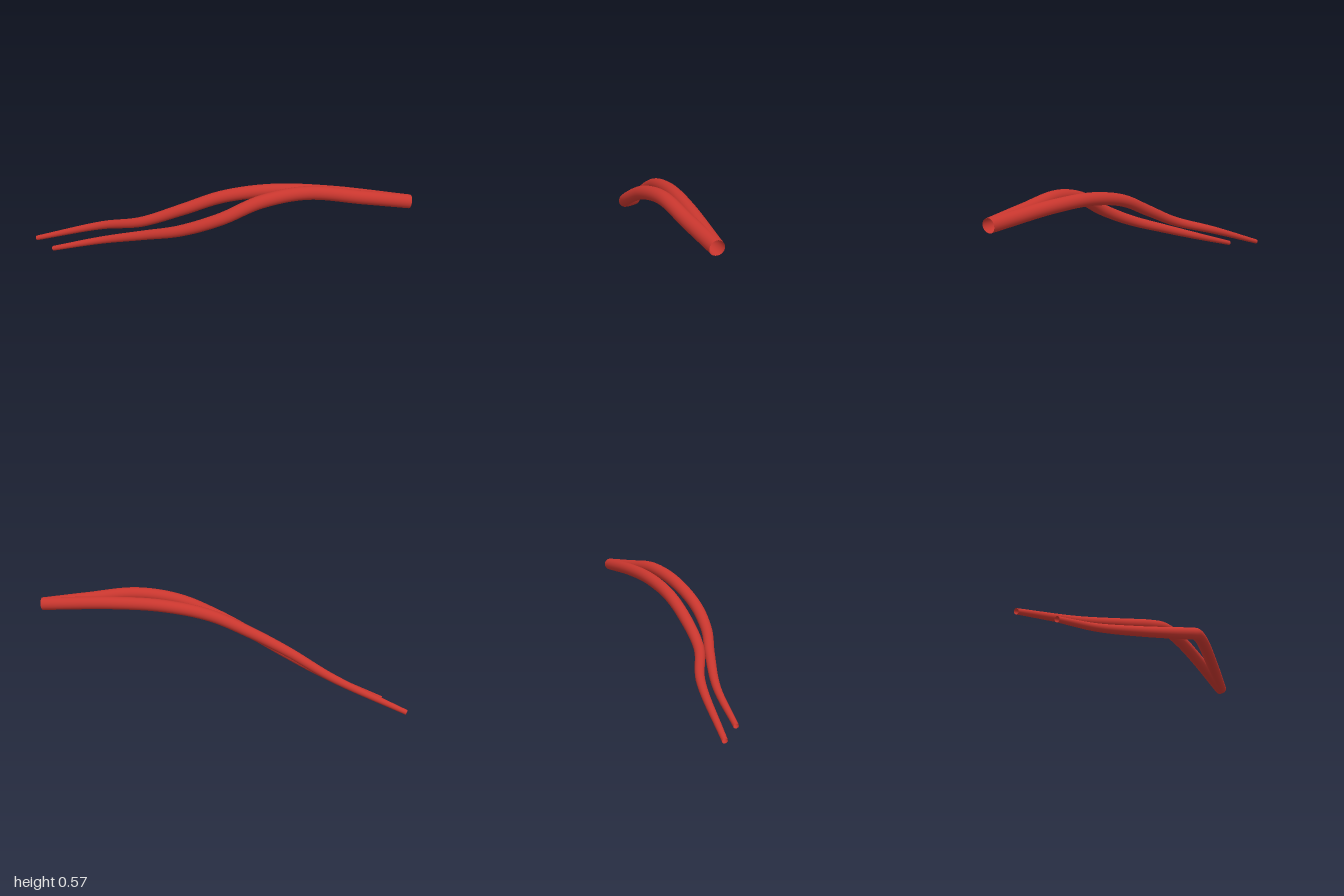
import * as THREE from 'three';

const SEGMENTS = 64;
const SIDES = 24;

// Radius along a strand, from the thin tip (t = 0) to the root (t = 1)
const STOPS = [[0, 0.016], [0.23, 0.028], [0.45, 0.037], [0.65, 0.041], [1, 0.042]];
function radiusAt(t) {
  for (let i = 1; i < STOPS.length; i++) {
    const [t0, r0] = STOPS[i - 1];
    const [t1, r1] = STOPS[i];
    if (t <= t1) return THREE.MathUtils.mapLinear(t, t0, t1, r0, r1);
  }
  return STOPS[STOPS.length - 1][1];
}

// Open tube whose rings are scaled to taper towards the tip
function taperedTube(points) {
  const curve = new THREE.CatmullRomCurve3(points.map(p => new THREE.Vector3(...p)));
  const geometry = new THREE.TubeGeometry(curve, SEGMENTS, 1, SIDES, false);
  const position = geometry.attributes.position;
  const normal = geometry.attributes.normal;
  const v = new THREE.Vector3();
  const n = new THREE.Vector3();
  for (let i = 0; i <= SEGMENTS; i++) {
    const t = i / SEGMENTS;
    const centre = curve.getPointAt(t);
    for (let j = 0; j <= SIDES; j++) {
      const k = i * (SIDES + 1) + j;
      n.fromBufferAttribute(normal, k);
      v.copy(centre).addScaledVector(n, radiusAt(t));
      position.setXYZ(k, v.x, v.y, v.z);
    }
  }
  return geometry;
}

export function createModel() {
  const group = new THREE.Group();
  const red = new THREE.MeshStandardMaterial({ color: 0xc8362e, side: THREE.DoubleSide });
  red.name = 'red';

  // Both strands share one root and run out to separate tips
  const root = [0.962, 0.457, -0.714];
  const strands = {
    rearStrand: [
      [-0.99, 0.025, 0.715], [-0.58, 0.172, 0.468], [-0.28, 0.26, 0.37], [-0.06, 0.365, 0.22],
      [0.13, 0.46, 0.05], [0.35, 0.506, -0.16], [0.6, 0.502, -0.39], root,
    ],
    frontStrand: [
      [-0.78, 0.02, 0.722], [-0.5, 0.113, 0.54], [-0.2, 0.207, 0.415], [0.04, 0.285, 0.325],
      [0.25, 0.385, 0.185], [0.4, 0.488, 0.0], [0.57, 0.534, -0.22], [0.78, 0.495, -0.48], root,
    ],
  };
  for (const [name, points] of Object.entries(strands)) {
    const mesh = new THREE.Mesh(taperedTube(points), red);
    mesh.name = name;
    group.add(mesh);
  }
  return group;
}
